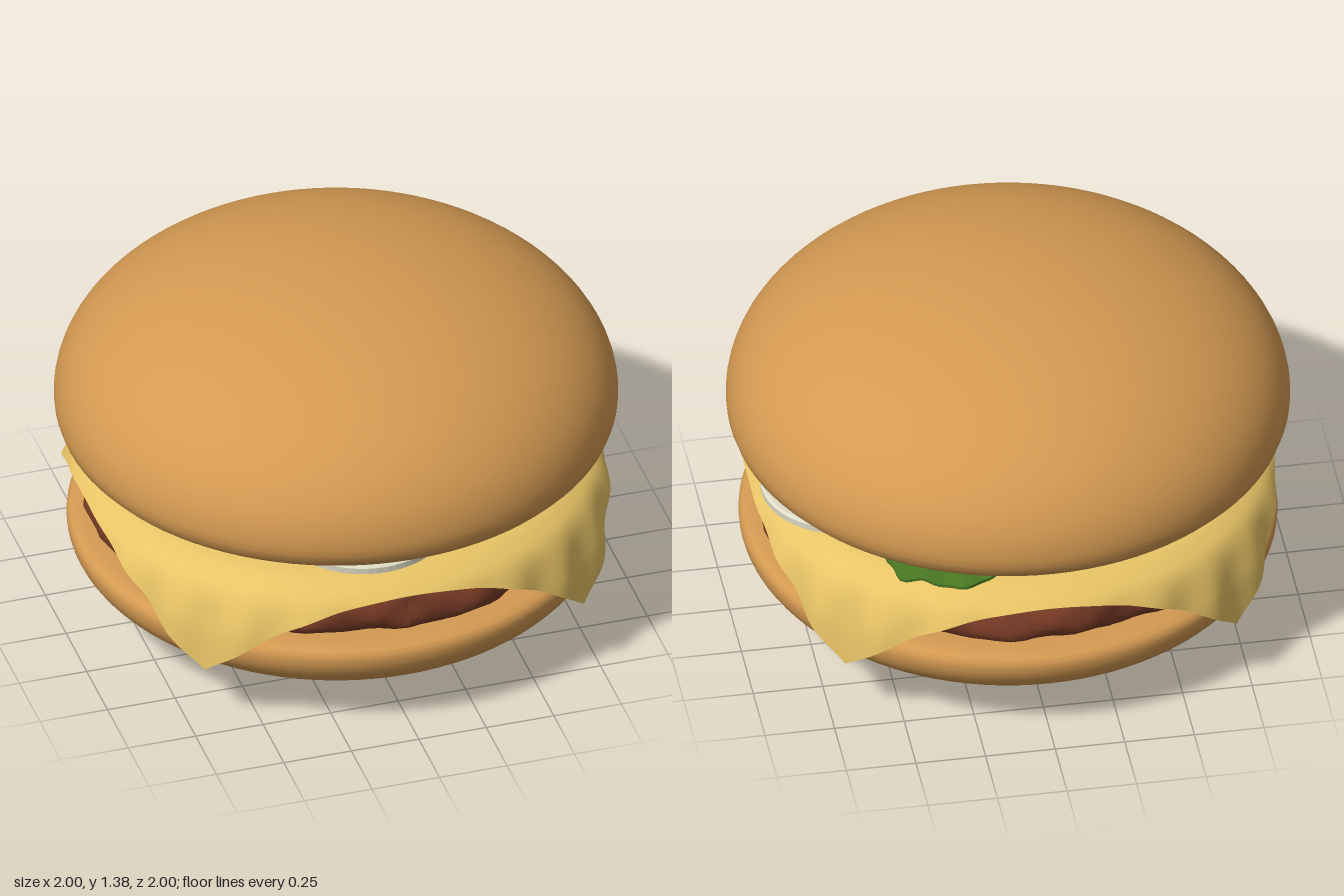
import * as THREE from 'three';

const COLORS = { bun: 0xd49a52, cheese: 0xe8c466, patty: 0x7a3c26, lettuce: 0x4a7a22, onion: 0xdedac6 };

const vec = ([x, y]) => new THREE.Vector2(x, y);

function part(name, geometry, color, side = THREE.FrontSide) {
  const mesh = new THREE.Mesh(geometry, new THREE.MeshStandardMaterial({ color, side }));
  mesh.name = name;
  return mesh;
}

// Moves every vertex of a geometry by a rule, then refreshes its normals
function deform(geometry, rule) {
  const pos = geometry.attributes.position;
  const v = new THREE.Vector3();
  for (let i = 0; i < pos.count; i++) {
    rule(v.fromBufferAttribute(pos, i));
    pos.setXYZ(i, v.x, v.y, v.z);
  }
  geometry.computeVertexNormals();
  return geometry;
}

// Quarter ellipse profile around the y axis
function ellipseArc(radius, centreY, height, from, to, steps) {
  return Array.from({ length: steps + 1 }, (_, i) => {
    const a = from + ((to - from) * i) / steps;
    return new THREE.Vector2(Math.max(0, radius * Math.cos(a)), centreY + height * Math.sin(a));
  });
}

// Domed crown with a flat, softly rounded base
function topBun() {
  const base = [[0, 0.735], [0.88, 0.735], [0.925, 0.736], [0.96, 0.748], [0.985, 0.775], [0.997, 0.81]].map(vec);
  return new THREE.LatheGeometry([...base, ...ellipseArc(1, 0.84, 0.54, 0, Math.PI / 2, 24)], 96);
}

// Shallow bowl with a rounded rim and flat top
function bottomBun() {
  const rim = [[0.953, 0.35], [0.94, 0.366], [0.915, 0.375], [0.87, 0.377], [0, 0.377]].map(vec);
  return new THREE.LatheGeometry([...ellipseArc(0.955, 0.33, 0.33, -Math.PI / 2, 0, 24), ...rim], 96);
}

// Lumpy meat disc
function patty() {
  const outline = new THREE.SplineCurve(
    [[0.8, 0.38], [0.865, 0.395], [0.895, 0.44], [0.89, 0.5], [0.86, 0.55], [0.78, 0.58]].map(vec));
  const points = [vec([0, 0.375]), ...outline.getPoints(12), vec([0, 0.585])];
  return deform(new THREE.LatheGeometry(points, 120), (v) => {
    const a = Math.atan2(v.z, v.x);
    const r = Math.hypot(v.x, v.z);
    const lump = Math.sin(9 * a + v.y * 20) + 0.8 * Math.sin(17 * a - v.y * 32) + 0.6 * Math.sin(29 * a + v.y * 45);
    const k = r > 0.7 ? 1 + 0.01 * lump : 1;
    v.x *= k;
    v.z *= k;
  });
}

// Square slice bent over the patty: distance from the centre runs along a drape curve
function cheese() {
  const half = 0.95, thickness = 0.024;
  const drape = new THREE.SplineCurve(
    [[0, 0.65], [0.5, 0.647], [0.8, 0.632], [0.9, 0.6], [0.95, 0.55], [0.985, 0.45], [1.0, 0.35], [1.012, 0.15]].map(vec));
  const length = drape.getLength();
  return deform(new THREE.BoxGeometry(2 * half, thickness, 2 * half, 80, 1, 80), (v) => {
    const a = Math.atan2(v.z, v.x);
    let d = Math.hypot(v.x, v.z);
    // round the four corners
    if (d > 1.1) d = 1.1 + (d - 1.1) * (1 - 0.9 * (d - 1.1));
    const t = Math.min(1, d / length);
    const p = drape.getPointAt(t);
    const tan = drape.getTangentAt(t);
    const depth = v.y - thickness / 2;
    const ripple = -0.012 * Math.cos(24 * a) * THREE.MathUtils.smoothstep(d, 0.92, 1.12);
    const r = p.x - tan.y * depth + ripple;
    v.set(Math.cos(a) * r, p.y + tan.x * depth, Math.sin(a) * r);
  });
}

// Onion slice with stepped concentric layers
function onion() {
  const h = 0.018;
  const points = [[0, -h], [0.3, -h], [0.31, -h + 0.006], [0.31, h - 0.006], [0.3, h]];
  for (const r of [0.23, 0.15, 0.08]) points.push([r + 0.01, h], [r + 0.005, h - 0.01], [r - 0.005, h - 0.01], [r - 0.01, h]);
  points.push([0, h]);
  const geometry = new THREE.LatheGeometry(points.map(vec), 56).toNonIndexed();
  geometry.computeVertexNormals();
  return geometry;
}

// Crinkled round leaf
function leaf() {
  return deform(new THREE.CylinderGeometry(0.27, 0.27, 0.012, 72, 6), (v) => {
    const a = Math.atan2(v.z, v.x);
    const r = Math.hypot(v.x, v.z);
    const edge = r / 0.27;
    const k = 1 + 0.05 * Math.sin(7 * a) + 0.025 * Math.sin(15 * a);
    v.x *= k;
    v.z *= k;
    v.y += 0.006 * edge * Math.sin(11 * a);
  });
}

// Places a slice and tips it down away from the middle
function place(mesh, x, y, z, tilt) {
  const axis = new THREE.Vector3(z, 0, -x).normalize();
  mesh.position.set(x, y, z);
  mesh.quaternion.setFromAxisAngle(axis, tilt);
  return mesh;
}

export function createModel() {
  const model = new THREE.Group();
  model.name = 'burger';
  model.add(
    part('bottomBun', bottomBun(), COLORS.bun),
    part('patty', patty(), COLORS.patty),
    part('cheeseSlice', cheese(), COLORS.cheese, THREE.DoubleSide),
    part('topBun', topBun(), COLORS.bun));

  const onions = new THREE.Group();
  onions.name = 'onionSlices';
  const onionGeometry = onion();
  for (const [x, y, z] of [[-0.08, 0.685, 0.57], [0.43, 0.68, 0.22], [0.61, 0.683, -0.19], [-0.48, 0.68, -0.3]]) {
    onions.add(place(part('onionSlice', onionGeometry, COLORS.onion), x, y, z, 0.06));
  }

  const lettuce = new THREE.Group();
  lettuce.name = 'lettuceLeaves';
  const leafGeometry = leaf();
  for (const [x, y, z, tilt] of [[0.66, 0.71, 0.14, 0.03], [-0.55, 0.715, 0.05, 0.02], [0.3, 0.685, -0.6, 0.08]]) {
    lettuce.add(place(part('lettuceLeaf', leafGeometry, COLORS.lettuce, THREE.DoubleSide), x, y, z, tilt));
  }

  model.add(onions, lettuce);
  return model;
}
